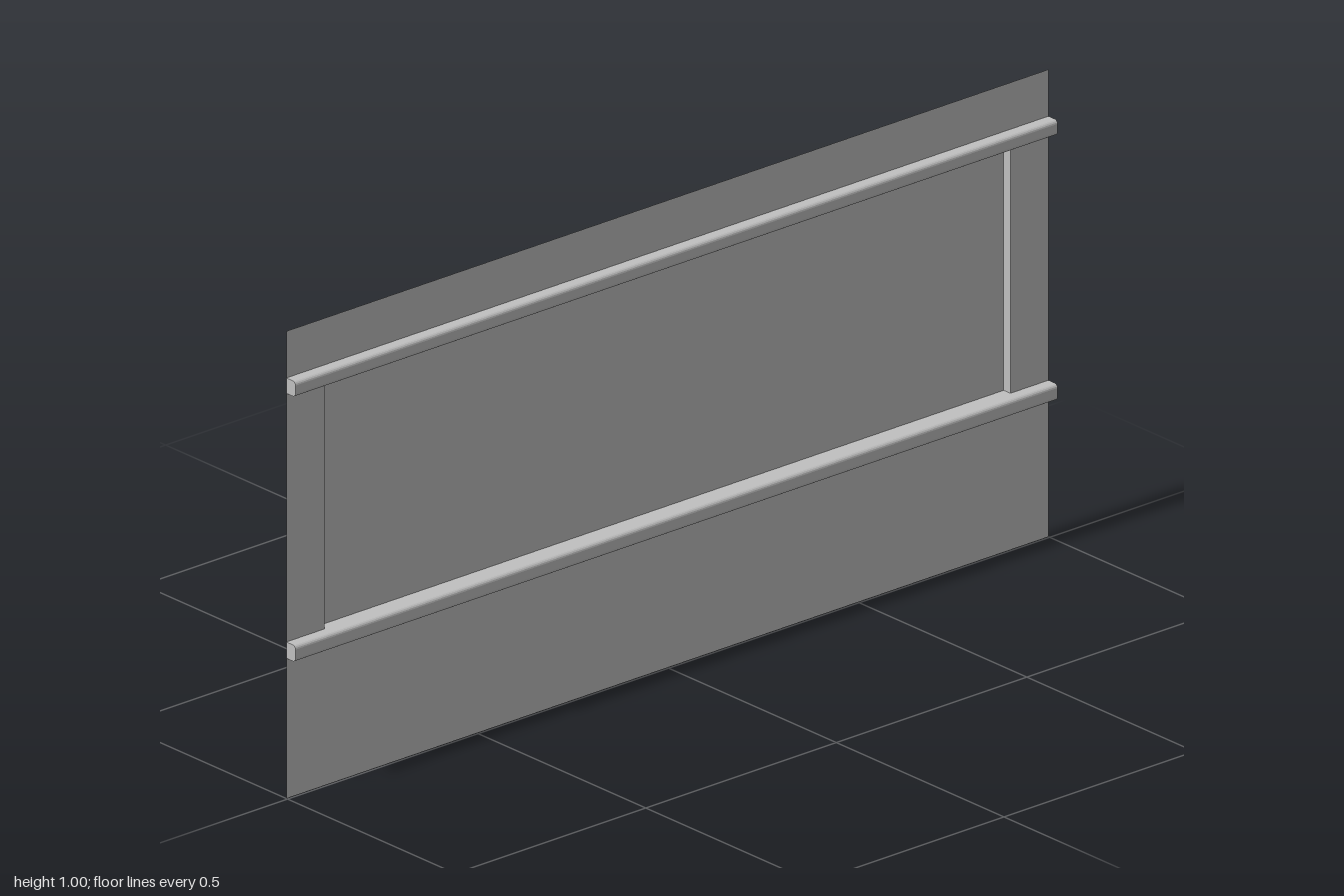
import * as THREE from 'three';

export function createModel() {
  const group = new THREE.Group();
  const metal = new THREE.MeshStandardMaterial({ color: 0xc0c0c0, side: THREE.DoubleSide });
  const sheetX = -0.0035, railX = 0.0235, recessX = -0.0235;
  const lowRail = [0.3, 0.335], highRail = [0.867, 0.9];
  const endZ = 1, recessZ = 0.9;

  const add = (name, geometry, parent = group) => {
    const mesh = new THREE.Mesh(geometry, metal);
    mesh.name = name;
    parent.add(mesh);
    return mesh;
  };

  // Sweeps an open [x, y] profile along z as folded sheet
  const fold = (profile, z0, z1) => {
    const pos = [];
    for (let i = 0; i < profile.length - 1; i++) {
      const [x0, y0] = profile[i], [x1, y1] = profile[i + 1];
      pos.push(x0, y0, z1, x0, y0, z0, x1, y1, z0);
      pos.push(x0, y0, z1, x1, y1, z0, x1, y1, z1);
    }
    const g = new THREE.BufferGeometry();
    g.setAttribute('position', new THREE.Float32BufferAttribute(pos, 3));
    g.computeVertexNormals();
    return g;
  };

  // Flat skirts below and above the rails
  add('lowerSheet', fold([[sheetX, 0], [sheetX, lowRail[0]]], -endZ, endZ));
  add('upperSheet', fold([[sheetX, highRail[1]], [sheetX, 1]], -endZ, endZ));

  // Hollow pressed rails with rounded outer corners and closed ends
  const makeRail = (name, [y0, y1]) => {
    const rail = new THREE.Group();
    rail.name = name;
    group.add(rail);
    const r = 0.008, profile = [[sheetX, y0]];
    for (const [cy, start] of [[y0 + r, -Math.PI / 2], [y1 - r, 0]]) {
      for (let i = 0; i <= 4; i++) {
        const a = start + (i / 4) * Math.PI / 2;
        profile.push([railX - r + r * Math.cos(a), cy + r * Math.sin(a)]);
      }
    }
    profile.push([sheetX, y1]);
    add('railSkin', fold(profile, -endZ, endZ), rail);
    const cap = new THREE.Shape(profile.map(([x, y]) => new THREE.Vector2(x, y)));
    for (const s of [-1, 1]) {
      const g = new THREE.ShapeGeometry(cap);
      if (s < 0) { // turn the rear cap outward
        const index = g.index.array;
        for (let i = 0; i < index.length; i += 3) [index[i], index[i + 1]] = [index[i + 1], index[i]];
        g.computeVertexNormals();
      }
      add('railEnd', g, rail).position.z = s * endZ;
    }
  };
  makeRail('lowerRail', lowRail);
  makeRail('upperRail', highRail);

  // Recessed centre panel with its top and bottom walls
  const y0 = lowRail[1], y1 = highRail[0];
  add('recessedPanel', fold([[sheetX, y0], [recessX, y0], [recessX, y1], [sheetX, y1]], -recessZ, recessZ));

  // End strips and recess side walls
  for (const s of [-1, 1]) {
    const [a, b] = s < 0 ? [-endZ, -recessZ] : [recessZ, endZ];
    add('endStrip', fold([[sheetX, y0], [sheetX, y1]], a, b));
    const wall = add('recessSideWall', new THREE.PlaneGeometry(sheetX - recessX, y1 - y0));
    wall.position.set((sheetX + recessX) / 2, (y0 + y1) / 2, s * recessZ);
    if (s > 0) wall.rotation.y = Math.PI;
  }
  return group;
}
